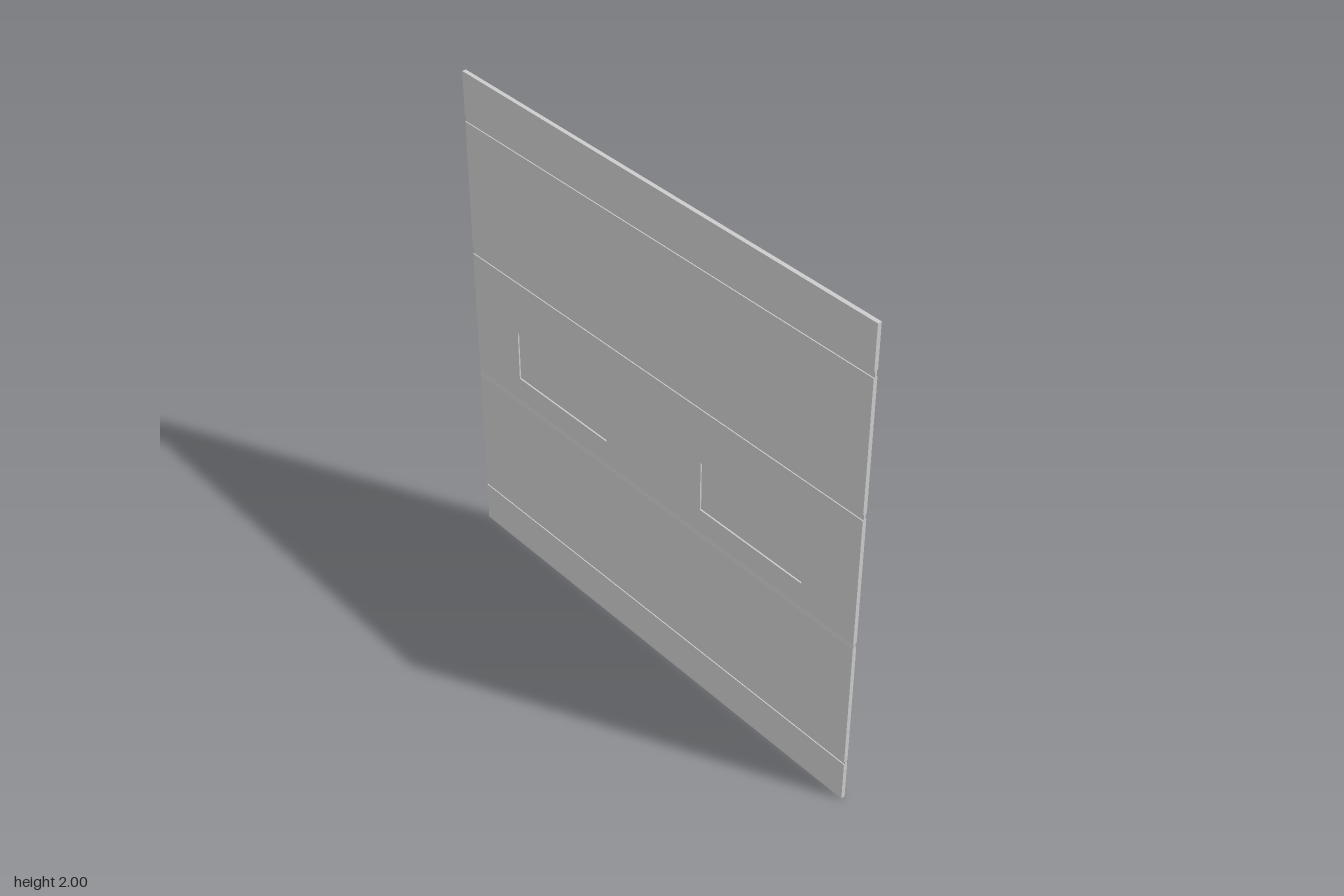
import * as THREE from 'three';

const T = 0.016;      // panel thickness
const NECK = 0.008;   // thickness left inside the grooves
const WIDTH = 2;

export function createModel() {
  const door = new THREE.Group();
  door.name = 'sectionalDoor';
  const material = new THREE.MeshStandardMaterial({ color: 0xcccccc, flatShading: true });

  const add = (name, geometry) => {
    const mesh = new THREE.Mesh(geometry, material);
    mesh.name = name;
    door.add(mesh);
    return mesh;
  };
  const slab = (name, y0, y1, thickness, z = 0, width = WIDTH) =>
    add(name, new THREE.BoxGeometry(thickness, y1 - y0, width)).position.set(0, (y0 + y1) / 2, z);
  const rect = (path, x0, y0, x1, y1) =>
    path.moveTo(x0, y0).lineTo(x1, y0).lineTo(x1, y1).lineTo(x0, y1).closePath();

  // Plain sections
  slab('bottomSection', 0, 0.167, T);
  slab('lowerSection', 0.18, 0.704, T);
  slab('upperSection', 1.277, 1.802, T);
  slab('topSection', 1.827, 2, T);

  // Middle section with two window openings
  const shape = rect(new THREE.Shape(), -1, 0.727, 1, 1.253);
  const windows = [-0.5, 0.5];
  for (const z of windows) shape.holes.push(rect(new THREE.Path(), z - 0.25, 0.825, z + 0.25, 1.03));
  const middle = new THREE.ExtrudeGeometry(shape, { depth: T, bevelEnabled: false });
  middle.translate(0, 0, -T / 2).rotateY(Math.PI / 2);
  add('middleSection', middle);

  // Recessed window panes
  for (const z of windows) slab('windowPane', 0.825, 1.03, 0.004, z, 0.5);

  // Thin necks joining the sections
  for (const [y0, y1] of [[0.167, 0.18], [1.253, 1.277], [1.802, 1.827]]) slab('jointNeck', y0, y1, NECK);

  // Joint under the middle section, sloping outward on the back
  const n = NECK / 2;
  const ramp = new THREE.Shape();
  ramp.moveTo(-T / 2, 0.704).lineTo(n, 0.704).lineTo(n, 0.727).lineTo(-n, 0.727).closePath();
  const joint = new THREE.ExtrudeGeometry(ramp, { depth: WIDTH, bevelEnabled: false });
  joint.translate(0, 0, -WIDTH / 2);
  add('slopedJoint', joint);

  return door;
}
